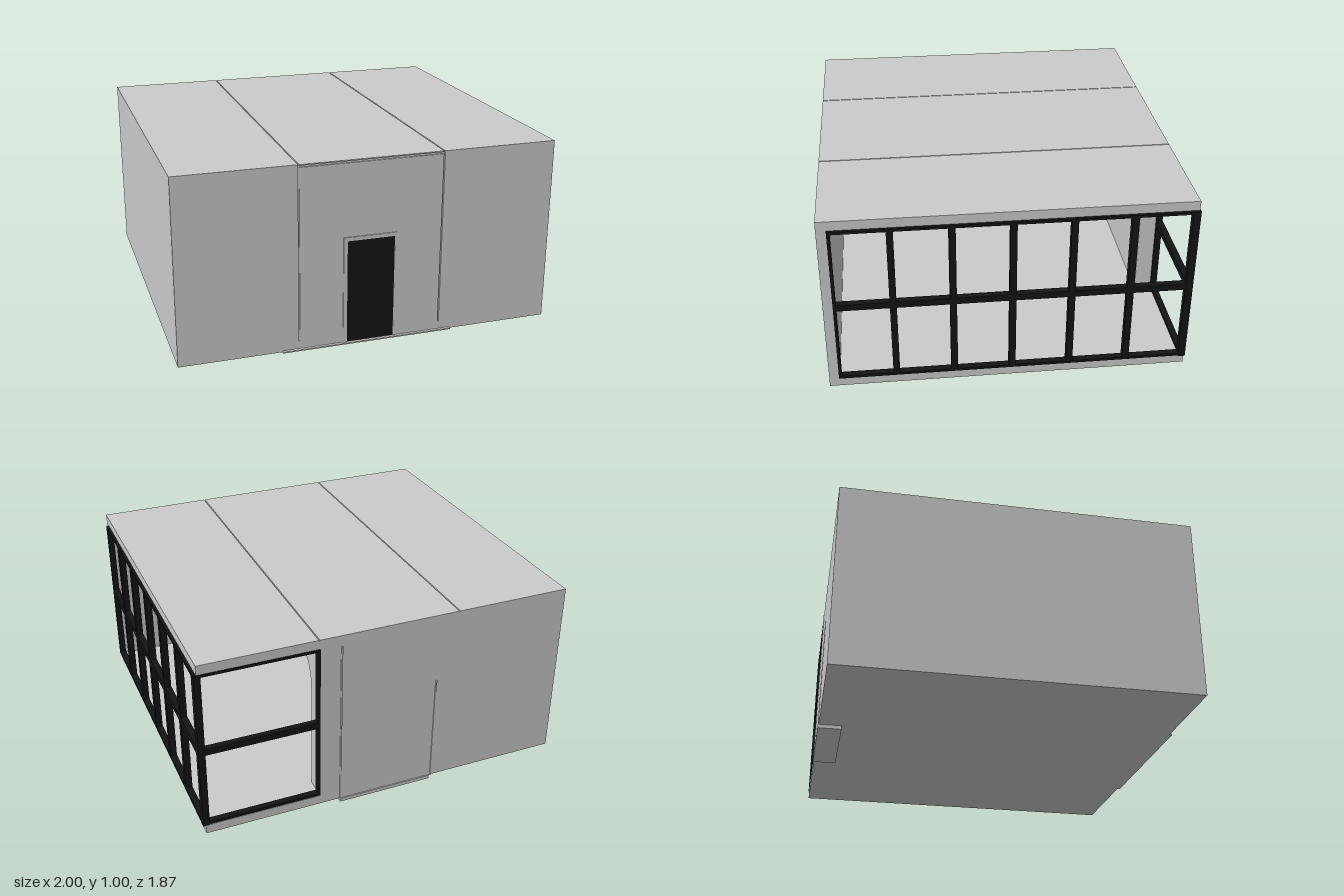
import * as THREE from 'three';

const grey = new THREE.MeshStandardMaterial({ color: 0xcccccc });
const black = new THREE.MeshStandardMaterial({ color: 0x141414 });

// Box given by its min and max on each axis
function block(parent, name, [x0, x1], [y0, y1], [z0, z1], material = grey) {
  const mesh = new THREE.Mesh(new THREE.BoxGeometry(x1 - x0, y1 - y0, z1 - z0), material);
  mesh.position.set((x0 + x1) / 2, (y0 + y1) / 2, (z0 + z1) / 2);
  mesh.name = name;
  parent.add(mesh);
  return mesh;
}

function subgroup(parent, name) {
  const group = new THREE.Group();
  group.name = name;
  parent.add(group);
  return group;
}

export function createModel() {
  const model = new THREE.Group();
  model.name = 'pavilion';

  // Closed shell: floor, solid side wall, roof, front and back walls
  const shell = subgroup(model, 'shell');
  block(shell, 'floor', [-1, 0.985], [0.02, 0.07], [-0.93, 0.92]);
  block(shell, 'sideWall', [-1, -0.94], [0.07, 0.95], [-0.93, 0.92]);
  block(shell, 'roofSlab', [-1, 0.985], [0.95, 0.994], [-0.93, 0.914]);
  block(shell, 'frontWall', [-0.94, 0.985], [0.07, 0.95], [0.865, 0.914]);
  block(shell, 'backWall', [-0.94, 0.37], [0.07, 0.95], [-0.93, -0.87]);

  // Roof and front cladding in three panels with narrow joints
  const joint = 0.003;
  [[-1, -0.38], [-0.38, 0.375], [0.375, 0.985]].forEach(([a, b], i) => {
    const x = [a + (i > 0 ? joint : 0), b - (i < 2 ? joint : 0)];
    block(shell, 'roofPanel', x, [0.994, 1.0], [-0.93, 0.92]);
    block(shell, 'frontPanel', x, [0.02, i === 1 ? 0.985 : 0.994], [0.912, 0.92]);
  });

  // Front door with its surround and threshold
  const door = subgroup(model, 'frontDoor');
  block(door, 'doorLeaf', [-0.13, 0.12], [0.03, 0.58], [0.91, 0.923], black);
  block(door, 'doorJamb', [-0.15, -0.13], [0.02, 0.6], [0.91, 0.925]);
  block(door, 'doorJamb', [0.12, 0.13], [0.02, 0.6], [0.91, 0.925]);
  block(door, 'doorHead', [-0.13, 0.12], [0.58, 0.6], [0.91, 0.925]);
  block(door, 'threshold', [-0.47, 0.44], [0.02, 0.027], [0.91, 0.935]);

  // Glazing frame along the open side
  const side = subgroup(model, 'sideWindowFrame');
  const sideX = [0.965, 1.0];
  [[0.075, 0.09], [0.495, 0.53], [0.935, 0.95]].forEach((y) =>
    block(side, 'sideRail', sideX, y, [-0.933, 0.87], black));
  block(side, 'endMullion', sideX, [0.075, 0.95], [0.855, 0.87], black);
  for (let i = 0; i < 5; i++) {
    const z = 0.575 - i * 0.297;
    block(side, 'mullion', sideX, [0.075, 0.95], [z - 0.017, z + 0.017], black);
  }
  block(side, 'cornerPost', sideX, [0.07, 0.95], [-0.933, -0.895], black);

  // Glazing frame returning around the back corner
  const back = subgroup(model, 'backWindowFrame');
  const backZ = [-0.933, -0.9];
  [[0.075, 0.09], [0.495, 0.53], [0.935, 0.95]].forEach((y) =>
    block(back, 'backRail', [0.37, 0.97], y, backZ, black));
  block(back, 'backEndMullion', [0.37, 0.385], [0.075, 0.95], backZ, black);

  // Thick inner lining that sweeps from the back wall into the ceiling
  const profile = new THREE.Shape();
  profile.moveTo(-0.87, 0.07);
  profile.lineTo(-0.81, 0.07);
  profile.lineTo(-0.81, 0.67);
  profile.absarc(-0.61, 0.67, 0.2, Math.PI, Math.PI / 2, true);
  profile.lineTo(-0.45, 0.875);
  profile.bezierCurveTo(-0.32, 0.88, -0.22, 0.9, -0.1, 0.912);
  profile.lineTo(-0.5, 0.95);
  profile.lineTo(-0.87, 0.95);
  const lining = new THREE.Mesh(
    new THREE.ExtrudeGeometry(profile, { depth: 1.31, bevelEnabled: false, curveSegments: 16 }), grey);
  lining.name = 'curvedLining';
  lining.rotation.y = -Math.PI / 2;
  lining.position.x = 0.37;
  model.add(lining);

  // Nested L-shaped ceiling rails with rounded corners
  const rails = subgroup(model, 'ceilingRails');
  for (let i = 0; i < 5; i++) {
    const x = 0.9 - i * 0.11, z = 0.85 - i * 0.11, w = 0.035, r = 0.2;
    const band = new THREE.Shape();
    band.moveTo(-0.94, z);
    band.lineTo(x - r, z);
    band.absarc(x - r, z - r, r, Math.PI / 2, 0, true);
    band.lineTo(x, -0.4);
    band.lineTo(x - w, -0.4);
    band.lineTo(x - w, z - r);
    band.absarc(x - r, z - r, r - w, 0, Math.PI / 2, false);
    band.lineTo(-0.94, z - w);
    const rail = new THREE.Mesh(
      new THREE.ExtrudeGeometry(band, { depth: 0.04, bevelEnabled: false, curveSegments: 12 }), grey);
    rail.name = 'ceilingRail';
    rail.rotation.x = Math.PI / 2;
    rail.position.y = 0.95;
    rails.add(rail);
  }

  // Back step and the slim strips on the back wall
  block(model, 'backStep', [-0.26, 0.26], [0, 0.02], [-0.935, -0.81]);
  block(model, 'backStrip', [0.254, 0.262], [0.005, 0.94], [-0.935, -0.925]);
  block(model, 'backStrip', [-0.274, -0.266], [0.02, 0.62], [-0.935, -0.925]);

  return model;
}
